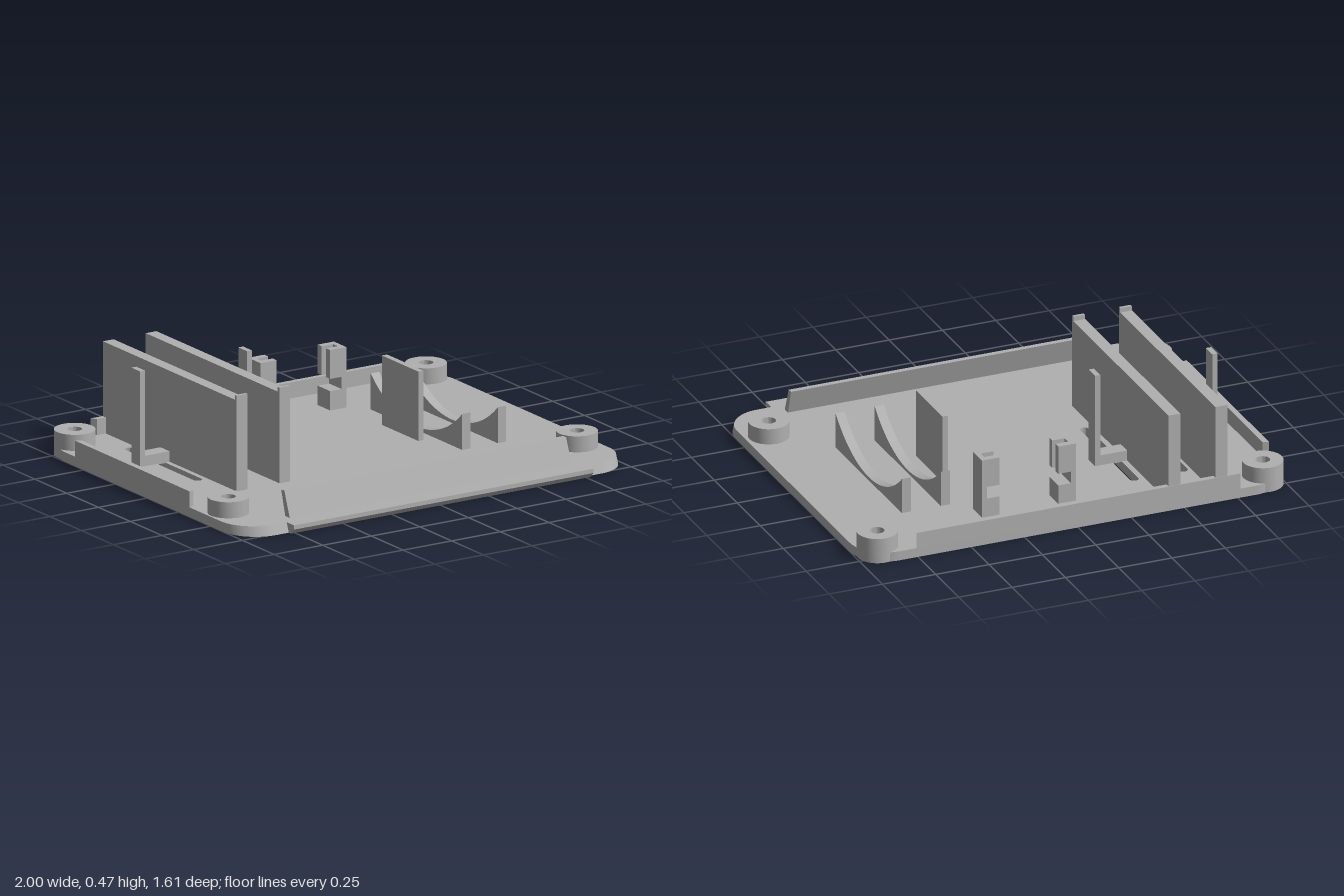
import * as THREE from 'three';
import { toCreasedNormals } from 'three/addons/utils/BufferGeometryUtils.js';

const T = 0.043; // plate thickness
const plastic = new THREE.MeshStandardMaterial({ color: 0xb0b0b0 });
plastic.name = 'grey plastic';

export function createModel() {
  const root = new THREE.Group();
  root.name = 'enclosureLid';

  const add = (name, geometry, parent = root) => {
    const mesh = new THREE.Mesh(geometry, plastic);
    mesh.name = name;
    parent.add(mesh);
    return mesh;
  };
  // box given by its limits
  const box = (name, x0, x1, y0, y1, z0, z1, parent) => {
    const g = new THREE.BoxGeometry(x1 - x0, y1 - y0, z1 - z0);
    g.translate((x0 + x1) / 2, (y0 + y1) / 2, (z0 + z1) / 2);
    return add(name, g, parent);
  };
  const polygon = (pts) => new THREE.Shape(pts.map(([a, b]) => new THREE.Vector2(a, b)));
  const extrude = (shape, depth) =>
    new THREE.ExtrudeGeometry(shape, { depth, bevelEnabled: false, curveSegments: 24 });
  // side profile in (z, y), extruded along x
  const profileX = (name, shape, x0, x1) => {
    const g = extrude(shape, x1 - x0);
    g.rotateY(-Math.PI / 2);
    g.translate(x1, 0, 0);
    return add(name, toCreasedNormals(g, 0.5));
  };
  // plan outline in (x, -z), extruded upwards
  const plan = (shape, y0, y1) => extrude(shape, y1 - y0).rotateX(-Math.PI / 2).translate(0, y0, 0);

  const bosses = [[-0.905, -0.715], [0.902, -0.715], [-0.9, 0.487], [0.893, 0.487]];

  // base plate with rounded corners, screw holes and vent slots
  const r = 0.165, back = 0.808, front = -0.747;
  const outline = new THREE.Shape();
  outline.moveTo(-1 + r, front);
  outline.lineTo(1 - r, front);
  outline.absarc(1 - r, front + r, r, -Math.PI / 2, 0, false);
  outline.lineTo(1, back - r);
  outline.absarc(1 - r, back - r, r, 0, Math.PI / 2, false);
  outline.lineTo(-1 + r, back);
  outline.absarc(-1 + r, back - r, r, Math.PI / 2, Math.PI, false);
  outline.lineTo(-1, front + r);
  outline.absarc(-1 + r, front + r, r, Math.PI, Math.PI * 1.5, false);
  for (const [x, z] of bosses) {
    const hole = new THREE.Path();
    hole.absarc(x, -z, 0.08, 0, Math.PI * 2, true);
    outline.holes.push(hole);
  }
  for (const x of [-0.743, -0.61, -0.513, -0.38]) {
    const w = 0.02, slot = new THREE.Path();
    slot.absarc(x, 0.535, w, 0, Math.PI, false);
    slot.absarc(x, -0.005, w, Math.PI, Math.PI * 2, false);
    slot.closePath();
    outline.holes.push(slot);
  }
  const plate = plan(outline, 0, T);
  const p = plate.attributes.position;
  for (let i = 0; i < p.count; i++) // the front edge leans outwards towards the bottom
    if (p.getZ(i) > 0.581 && p.getY(i) < 0.01) p.setZ(i, p.getZ(i) + 0.017);
  add('basePlate', toCreasedNormals(plate, 0.5));

  // front lip with a chamfer underneath
  profileX('frontLip',
    polygon([[0.73, 0], [0.782, 0], [0.805, 0.024], [0.805, T], [0.73, T]]), -0.77, 0.77);

  // leaning front flap
  profileX('frontFlap',
    polygon([[0.668, 0.04], [0.703, 0.04], [0.66, 0.155], [0.635, 0.155]]), -0.725, 0.725);

  // counterbored screw bosses
  const bossProfile = [[0.075, 0], [0.09, 0], [0.09, 0.115], [0.032, 0.115],
    [0.032, 0.06], [0.075, 0.06], [0.075, 0]].map(([a, b]) => new THREE.Vector2(a, b));
  const bossGeometry = toCreasedNormals(new THREE.LatheGeometry(bossProfile, 40), 0.5);
  for (const [x, z] of bosses) add('screwBoss', bossGeometry).position.set(x, 0, z);

  // low rim walls at the back and the right
  add('backRim', plan(polygon([[-0.745, 0.783], [0.738, 0.783], [0.757, 0.808], [-0.762, 0.808]]), 0.03, 0.115));
  add('sideRim', plan(polygon([[-1, -0.335], [-0.973, -0.325], [-0.973, 0.555], [-1, 0.565]]), 0.03, 0.115));

  // tall divider panels, each with a small stop at its front end
  for (const x of [-0.7, -0.48]) {
    profileX('dividerPanel', polygon([[-0.806, 0.04], [0.246, 0.04], [0.246, 0.473],
      [0.232, 0.473], [0.232, 0.452], [-0.806, 0.452]]), x, x + 0.055);
  }

  // spring posts beside the panels, joined by a foot
  for (const [x0, x1, post] of [[-0.85, -0.69, -0.85], [-0.435, -0.275, -0.3]]) {
    const clip = new THREE.Group();
    clip.name = 'springClip';
    root.add(clip);
    box('clipFoot', x0, x1, 0.04, 0.09, -0.353, -0.283, clip);
    box('clipPost', post, post + 0.025, 0.04, 0.473, -0.353, -0.283, clip);
  }

  // curved cradles
  for (const x of [0.45, 0.633]) {
    const R = 0.514, cz = -0.098, cy = 0.572, a = Math.asin(0.36 / R);
    const s = new THREE.Shape();
    s.moveTo(cz - 0.36, 0.04);
    s.lineTo(cz + 0.36, 0.04);
    s.lineTo(cz + 0.36, 0.205);
    s.absarc(cz, cy, R, -Math.PI / 2 + a, -Math.PI / 2 - a, true);
    s.closePath();
    profileX('cradle', s, x, x + 0.043);
  }
  box('stopWall', 0.365, 0.392, 0.04, 0.355, -0.241, 0.046);

  // pair of facing slotted holders
  for (const side of [1, -1]) {
    const holder = new THREE.Group();
    holder.name = 'slottedHolder';
    root.add(holder);
    const span = (name, a, b, y0, y1, z0, z1) => {
      const x0 = 0.1575 - side * 0.2205 + side * a, x1 = x0 + side * (b - a);
      box(name, Math.min(x0, x1), Math.max(x0, x1), y0, y1, z0, z1, holder);
    };
    span('holderStem', 0, 0.024, 0.04, 0.315, -0.638, -0.54);
    span('holderFoot', 0.024, 0.083, 0.04, 0.13, -0.638, -0.54);
    span('holderBackArm', 0.024, 0.083, 0.185, 0.315, -0.638, -0.607);
    span('holderFrontArm', 0.024, 0.083, 0.185, 0.315, -0.571, -0.54);
  }
  return root;
}
